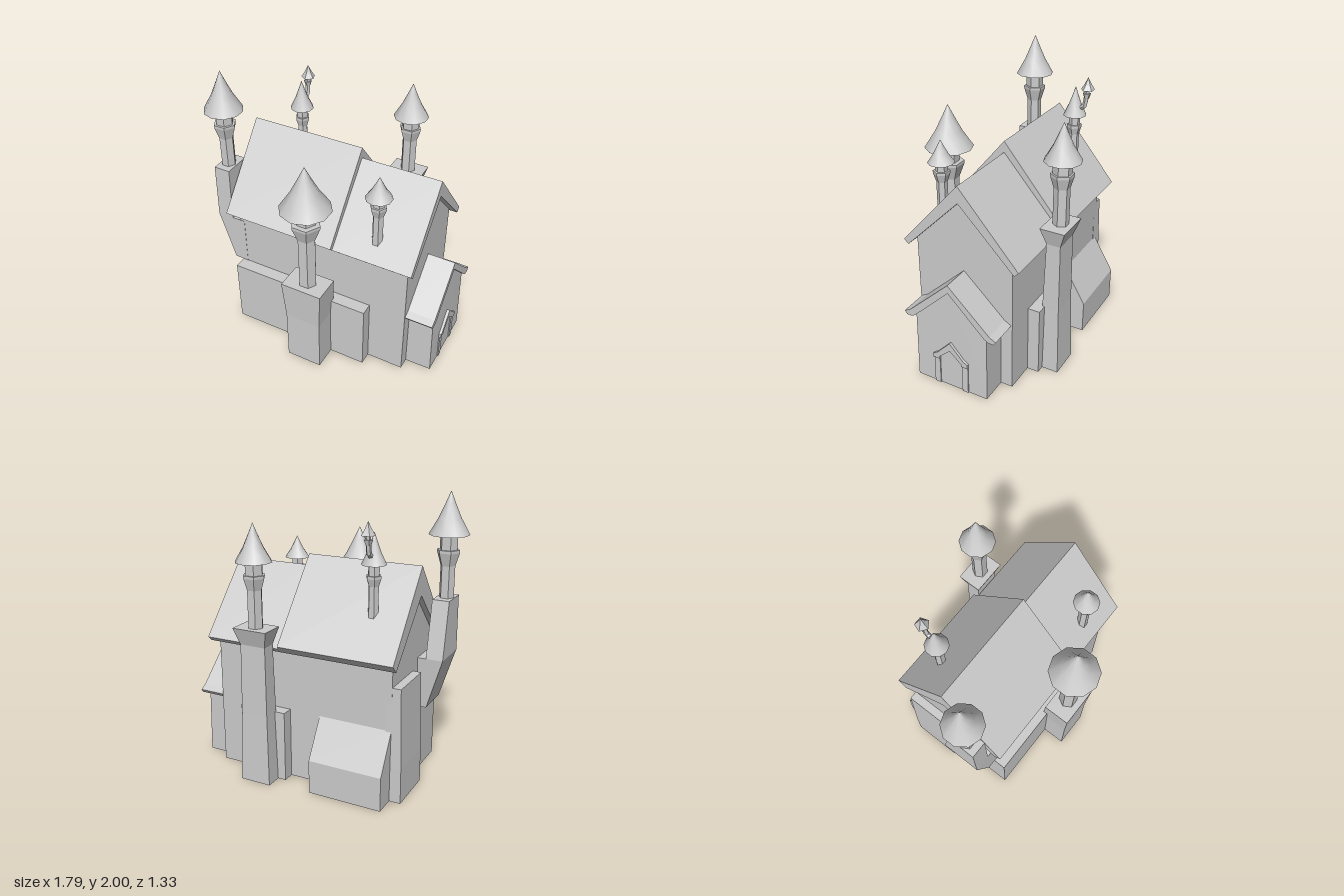
import * as THREE from 'three';
import { toCreasedNormals } from 'three/addons/utils/BufferGeometryUtils.js';

const flat = new THREE.MeshStandardMaterial({ color: 0xcccccc, flatShading: true });
const smooth = new THREE.MeshStandardMaterial({ color: 0xcccccc });
const MID = -0.042; // z of the ridge line

function add(parent, name, geometry, material = flat) {
  const mesh = new THREE.Mesh(geometry, material);
  mesh.name = name;
  parent.add(mesh);
  return mesh;
}

// Outline of [z, y] points extruded along x
function prism(points, x0, x1) {
  const shape = new THREE.Shape(points.map(([z, y]) => new THREE.Vector2(-z, y)));
  const geo = new THREE.ExtrudeGeometry(shape, { depth: x1 - x0, bevelEnabled: false });
  return geo.rotateY(Math.PI / 2).translate(x0, 0, 0);
}

// Half outline [offset, y], mirrored about the ridge line
function gable(outer, inner, x0, x1) {
  const side = (s) => ([o, y]) => [MID + s * o, y];
  const half = [...outer, ...inner];
  const other = half.filter(([o]) => o > 0).reverse();
  const apexLow = half[half.length - 1];
  const points = [...half.map(side(1)), ...other.map(side(-1))];
  if (apexLow[0] > 0) return prism(points, x0, x1);
  return prism(points, x0, x1);
}

// Rectangular sections [y, x0, x1, z0, z1] joined into a closed solid
function loft(levels) {
  const rings = levels.map(([y, x0, x1, z0, z1]) =>
    [[x0, y, z0], [x1, y, z0], [x1, y, z1], [x0, y, z1]]);
  const pos = [];
  const tri = (...p) => p.forEach((v) => pos.push(...v));
  for (let k = 0; k < rings.length - 1; k++) {
    for (let i = 0; i < 4; i++) {
      const j = (i + 1) % 4, a = rings[k], b = rings[k + 1];
      tri(a[i], b[i], a[j]);
      tri(a[j], b[i], b[j]);
    }
  }
  const lo = rings[0], hi = rings[rings.length - 1];
  tri(hi[0], hi[3], hi[2]); tri(hi[0], hi[2], hi[1]);
  tri(lo[0], lo[2], lo[3]); tri(lo[0], lo[1], lo[2]);
  const geo = new THREE.BufferGeometry();
  geo.setAttribute('position', new THREE.Float32BufferAttribute(pos, 3));
  geo.computeVertexNormals();
  return geo;
}

const lathe = (pts, sides) =>
  new THREE.LatheGeometry(pts.map(([r, y]) => new THREE.Vector2(r, y)), sides);

// Slightly concave pointed cap
function capGeometry(r, y0, y1, sides) {
  const h = y1 - y0;
  const pts = [[0, y0], [r, y0], [r * 0.55, y0 + h * 0.38], [r * 0.25, y0 + h * 0.71], [0, y1]];
  return toCreasedNormals(lathe(pts, sides), 0.8);
}

// Hexagonal chimney: shaft, flared collar, neck and pointed cap
function chimney(parent, name, t) {
  const g = new THREE.Group();
  g.name = name;
  g.position.set(t.x, 0, t.z);
  const shaft = lathe([[0, t.foot], [t.r, t.foot], [t.r, t.bend], [t.flare, t.collar - 0.02],
    [t.flare, t.collar], [t.neck, t.collar], [t.neck, t.eave + 0.01]], 6);
  add(g, 'shaft', shaft.rotateY(Math.PI / 2));
  add(g, 'cap', capGeometry(t.capR, t.eave, t.top, 10), smooth);
  parent.add(g);
}

export function createModel() {
  const model = new THREE.Group();
  model.name = 'house';

  // Main walls and the two roof sections
  add(model, 'walls', gable([[0, 1.36], [0.36, 1.0]], [[0.36, 0]], -0.64, 0.69));
  add(model, 'tallRoof', gable([[0, 1.54], [0.456, 0.99]], [[0.4, 0.935], [0, 1.34]], -0.68, 0.16));
  add(model, 'lowRoof', gable([[0, 1.46], [0.432, 0.967]], [[0.4, 0.935], [0, 1.34]], 0.16, 0.74));

  // Low additions around the walls
  add(model, 'frontAnnex', loft([[0, -0.64, 0.42, 0.25, 0.41], [0.51, -0.64, 0.42, 0.25, 0.41]]));
  add(model, 'backAnnex', loft([[0, 0.12, 0.47, -0.487, -0.35], [0.51, 0.12, 0.47, -0.487, -0.35]]));
  add(model, 'leanTo', prism([[-0.35, 0], [-0.56, 0], [-0.56, 0.24], [-0.4, 0.51], [-0.35, 0.51]], -0.64, -0.11));
  add(model, 'sideButtress', loft([[0, -0.72, -0.6, -0.41, -0.05], [0.25, -0.718, -0.6, -0.41, -0.05],
    [0.81, -0.7, -0.6, -0.4, -0.05]]));

  // Porch with flared roof
  const porch = new THREE.Group();
  porch.name = 'porch';
  model.add(porch);
  const porchWalls = gable([[0, 0.79], [0.273, 0.52]], [[0.273, 0]], 0.65, 0.88);
  const p = porchWalls.attributes.position;
  for (let i = 0; i < p.count; i++) if (p.getX(i) > 0.8 && p.getY(i) > 0.1) p.setX(i, 0.868);
  add(porch, 'porchWalls', porchWalls);
  add(porch, 'porchRoof', gable([[0, 0.825], [0.305, 0.535], [0.353, 0.51]],
    [[0.335, 0.485], [0.295, 0.485], [0.265, 0.505], [0, 0.765]], 0.68, 0.89));

  // Door surround
  for (const s of [-1, 1]) {
    const c = MID + s * 0.11;
    add(porch, 'doorPost', loft([[0, 0.85, 0.888, c - 0.022, c + 0.022], [0.22, 0.85, 0.885, c - 0.022, c + 0.022]]));
  }
  add(porch, 'doorHood', gable([[0, 0.368], [0.1, 0.26], [0.134, 0.238]],
    [[0.134, 0.21], [0.085, 0.21], [0.085, 0.228], [0, 0.305]], 0.85, 0.895));

  // Masonry bases of the large chimneys
  add(model, 'frontChimneyBase', loft([[0, -0.107, 0.157, 0.35, 0.58], [0.4, -0.107, 0.157, 0.37, 0.58],
    [0.7, -0.127, 0.177, 0.395, 0.595]]));
  add(model, 'backChimneyBase', loft([[0, 0.18, 0.41, -0.605, -0.44], [0.5, 0.195, 0.395, -0.59, -0.47],
    [1.0, 0.2, 0.39, -0.585, -0.485], [1.12, 0.167, 0.423, -0.625, -0.45]]));
  add(model, 'sideChimneyBase', loft([[0.51, -0.705, -0.6, 0.06, 0.32], [0.88, -0.82, -0.6, 0.03, 0.32],
    [0.88, -0.82, -0.7, 0.03, 0.32], [1.28, -0.82, -0.7, 0.11, 0.31]]));

  // Chimneys
  chimney(model, 'frontChimney', { x: 0.025, z: 0.49, foot: 0.69, r: 0.066, bend: 1.1, flare: 0.107,
    collar: 1.23, neck: 0.07, eave: 1.34, capR: 0.178, top: 1.66 });
  chimney(model, 'sideChimney', { x: -0.763, z: 0.215, foot: 1.27, r: 0.052, bend: 1.5, flare: 0.08,
    collar: 1.61, neck: 0.062, eave: 1.71, capR: 0.138, top: 2.0 });
  chimney(model, 'backChimney', { x: 0.295, z: -0.538, foot: 1.11, r: 0.054, bend: 1.38, flare: 0.078,
    collar: 1.48, neck: 0.064, eave: 1.565, capR: 0.125, top: 1.82 });
  chimney(model, 'smallFrontChimney', { x: 0.44, z: 0.275, foot: 1.06, r: 0.038, bend: 1.29, flare: 0.058,
    collar: 1.37, neck: 0.043, eave: 1.43, capR: 0.092, top: 1.59 });
  chimney(model, 'smallBackChimney', { x: -0.44, z: -0.275, foot: 1.2, r: 0.036, bend: 1.43, flare: 0.052,
    collar: 1.5, neck: 0.04, eave: 1.57, capR: 0.083, top: 1.78 });

  // Crooked stovepipe growing out of the small back chimney
  const pipePath = new THREE.CatmullRomCurve3([[-0.29, 1.62], [-0.345, 1.645], [-0.357, 1.70], [-0.367, 1.78]]
    .map(([z, y]) => new THREE.Vector3(-0.437, y, z)));
  add(model, 'stovepipe', new THREE.TubeGeometry(pipePath, 6, 0.018, 5));
  const collar = new THREE.CylinderGeometry(0.03, 0.018, 0.035, 5);
  add(model, 'stovepipeCollar', collar.translate(-0.437, 1.725, -0.361));
  add(model, 'stovepipeCap', capGeometry(0.05, 1.77, 1.86, 5).translate(-0.437, 0, -0.367));

  return model;
}
